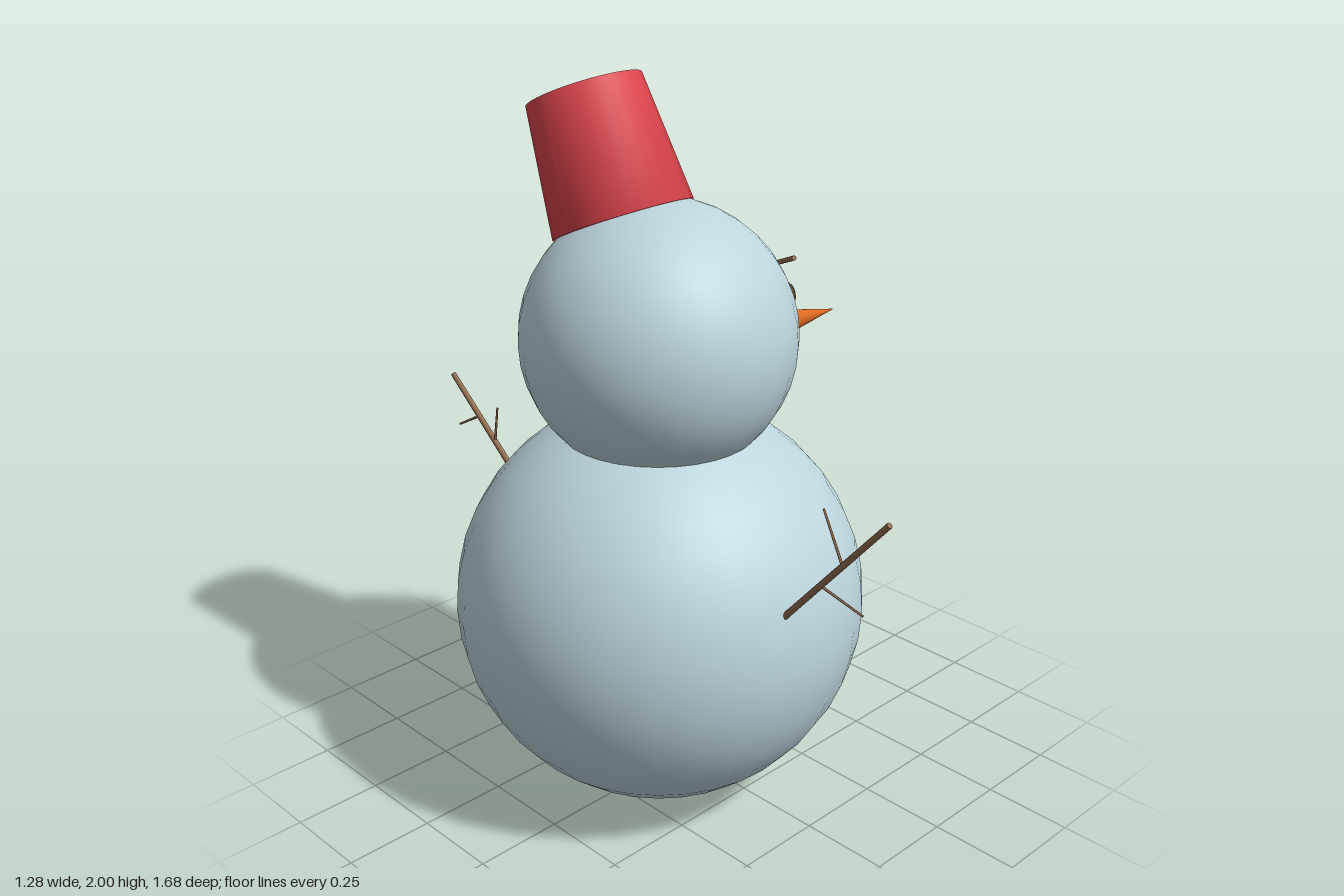
import * as THREE from 'three';
import { mergeVertices } from 'three/addons/utils/BufferGeometryUtils.js';

const material = (color) => new THREE.MeshStandardMaterial({ color });
const snow = material(0xbdd5dd);
const red = material(0xd9434b);
const orange = material(0xdc681f);
const coal = material(0x4b3920);
const wood = material(0x8f6a4c);

function add(parent, name, geometry, mat, x = 0, y = 0, z = 0) {
  const mesh = new THREE.Mesh(geometry, mat);
  mesh.name = name;
  mesh.position.set(x, y, z);
  parent.add(mesh);
  return mesh;
}

// Tapered rod between two points
function addRod(parent, name, from, to, r0, r1, sides, mat) {
  const a = new THREE.Vector3(...from);
  const b = new THREE.Vector3(...to);
  const dir = b.clone().sub(a);
  const mid = a.clone().add(b).multiplyScalar(0.5);
  const geometry = new THREE.CylinderGeometry(r1, r0, dir.length(), sides);
  const mesh = add(parent, name, geometry, mat, mid.x, mid.y, mid.z);
  mesh.quaternion.setFromUnitVectors(new THREE.Vector3(0, 1, 0), dir.normalize());
  return mesh;
}

// Branch with twigs; every point is [z, y] in the plane of the arms
function addArm(parent, name, branch, twigs) {
  const arm = new THREE.Group();
  arm.name = name;
  const at = ([z, y]) => [-0.15, y, z];
  addRod(arm, 'branch', at(branch[0]), at(branch[1]), 0.009, 0.008, 8, wood);
  for (const [from, to] of twigs) addRod(arm, 'twig', at(from), at(to), 0.004, 0.003, 6, wood);
  parent.add(arm);
}

export function createModel() {
  const model = new THREE.Group();
  model.name = 'snowman';

  // Snowballs
  add(model, 'body', new THREE.SphereGeometry(0.567, 32, 20), snow, -0.08, 0.57, -0.01);
  add(model, 'head', new THREE.SphereGeometry(0.37, 32, 20), snow, -0.08, 1.327, -0.01);

  // Tilted bucket hat, softly shaded across its top edge
  let bucket = new THREE.CylinderGeometry(0.158, 0.193, 0.35, 32);
  bucket.deleteAttribute('uv');
  bucket.deleteAttribute('normal');
  bucket = mergeVertices(bucket);
  bucket.computeVertexNormals();
  add(model, 'bucketHat', bucket, red, -0.08, 1.777, -0.215).rotation.x = -0.425;

  // Carrot nose
  addRod(model, 'nose', [0.25, 1.253, -0.022], [0.635, 1.237, -0.022], 0.066, 0.001, 24, orange);

  // Coal eyes, flattened against the face
  for (const [name, z] of [['rightEye', 0.115], ['leftEye', -0.125]]) {
    const eye = add(model, name, new THREE.SphereGeometry(0.04, 16, 12), coal, 0.264, 1.395, z);
    eye.scale.x = 0.7;
  }

  // Slanted stick eyebrows
  addRod(model, 'rightBrow', [0.24, 1.515, 0.173], [0.265, 1.467, 0.06], 0.007, 0.007, 8, wood);
  addRod(model, 'leftBrow', [0.24, 1.515, -0.185], [0.265, 1.478, -0.067], 0.007, 0.007, 8, wood);

  // Stick arms
  addArm(model, 'rightArm', [[0.52, 0.73], [0.835, 1.095]], [
    [[0.7, 0.94], [0.635, 1.07]],
    [[0.64, 0.86], [0.77, 0.83]],
  ]);
  addArm(model, 'leftArm', [[-0.53, 0.76], [-0.835, 1.022]], [
    [[-0.645, 0.86], [-0.627, 0.97]],
    [[-0.715, 0.92], [-0.815, 0.865]],
  ]);

  return model;
}
